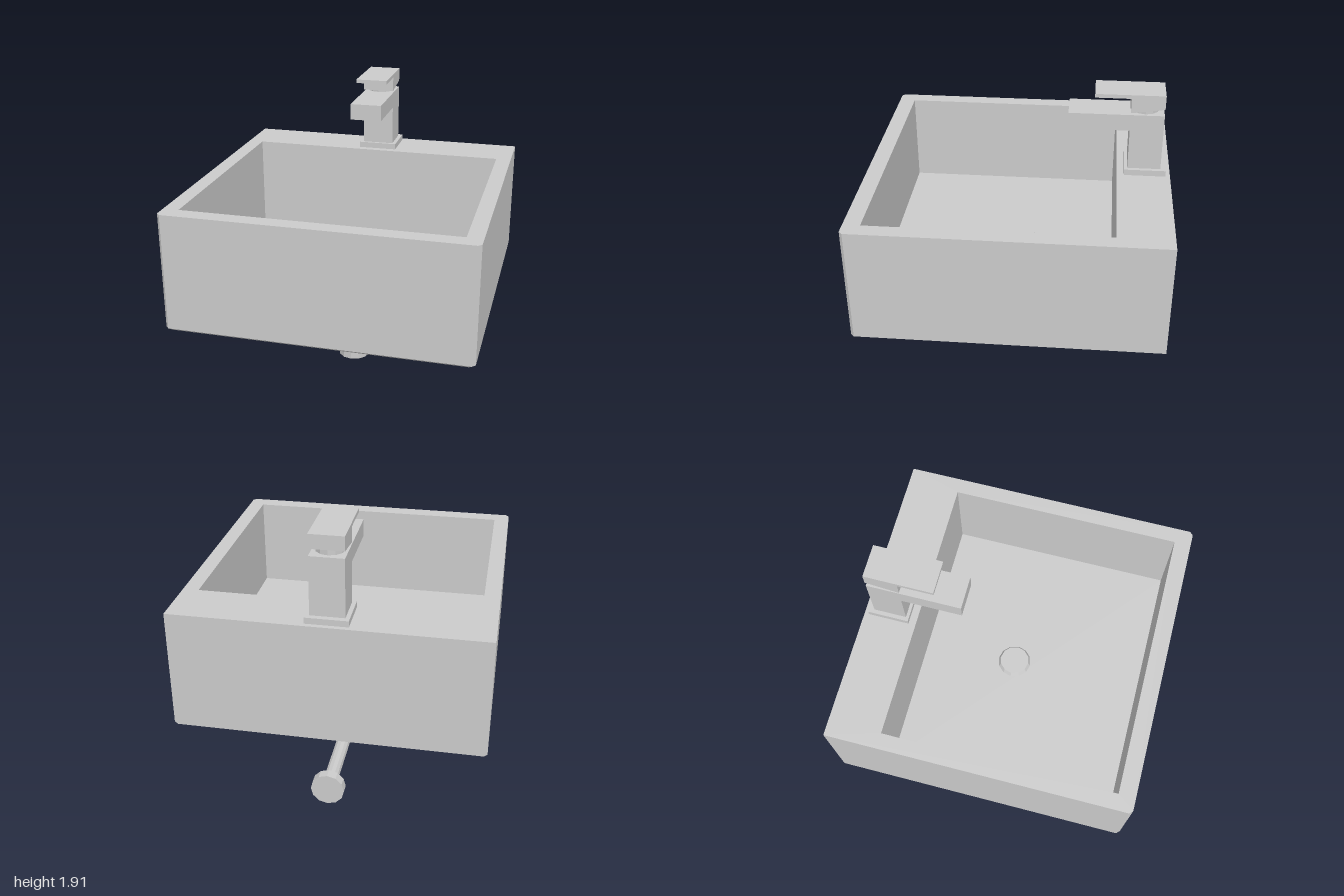
import * as THREE from 'three';

const material = new THREE.MeshStandardMaterial({ color: 0xcccccc, flatShading: true });

export function createModel() {
  const model = new THREE.Group();
  model.name = 'washbasin';

  const add = (name, geometry, x = 0, y = 0, z = 0, parent = model) => {
    const mesh = new THREE.Mesh(geometry, material);
    mesh.name = name;
    mesh.position.set(x, y, z);
    parent.add(mesh);
    return mesh;
  };
  // box given by its width and its y and z ranges
  const addBox = (name, w, y0, y1, z0, z1, parent) =>
    add(name, new THREE.BoxGeometry(w, y1 - y0, z1 - z0), 0, (y0 + y1) / 2, (z0 + z1) / 2, parent);
  // upright twelve-sided cylinder given by its y range
  const addRound = (name, rTop, rBottom, y0, y1, z = 0, parent = model) =>
    add(name, new THREE.CylinderGeometry(rTop, rBottom, y1 - y0, 12), 0, (y0 + y1) / 2, z, parent);

  add('basin', basinGeometry());

  // drain and waste pipe
  addRound('drainPlug', 0.1, 0.115, 0.72, 0.75);
  const plumbing = new THREE.Group();
  plumbing.name = 'plumbing';
  model.add(plumbing);
  addRound('wastePipe', 0.097, 0.097, 0.25, 0.57, 0, plumbing);
  addRound('trap', 0.109, 0.109, 0, 0.255, 0, plumbing);
  const lyingCylinder = (r, length) => new THREE.CylinderGeometry(r, r, length, 12).rotateX(Math.PI / 2);
  add('wallPipe', lyingCylinder(0.047, 0.87), 0, 0.183, -0.515, plumbing);
  add('wallFlange', lyingCylinder(0.108, 0.063), 0, 0.183, -0.9685, plumbing);

  // mixer tap
  const tap = new THREE.Group();
  tap.name = 'tap';
  model.add(tap);
  addBox('tapBase', 0.27, 1.345, 1.39, -0.955, -0.685, tap);
  add('tapBody', profileAcrossX([
    [-0.92, 1.385], [-0.705, 1.385], [-0.705, 1.66], [-0.31, 1.66], [-0.31, 1.77], [-0.92, 1.77],
  ], 0.217), 0, 0, 0, tap);
  addRound('tapNeck', 0.09, 0.09, 1.765, 1.83, -0.8, tap);
  add('tapLever', profileAcrossX([
    [-0.92, 1.815], [-0.705, 1.783], [-0.705, 1.882], [-0.475, 1.882], [-0.475, 1.907], [-0.92, 1.907],
  ], 0.217), 0, 0, 0, tap);

  return model;
}

// extrudes a side profile of [z, y] points across the width
function profileAcrossX(points, width) {
  const shape = new THREE.Shape(points.map(([z, y]) => new THREE.Vector2(-z, y)));
  return new THREE.ExtrudeGeometry(shape, { depth: width, bevelEnabled: false })
    .translate(0, 0, -width / 2)
    .rotateY(Math.PI / 2);
}

// hollow basin lofted through loops: underside, outer wall, rim, bowl wall, bowl floor
function basinGeometry() {
  const loop = (x, zBack, zFront, cut, y) => [
    [-x, y, zBack], [-x, y, zFront - cut], [-x + cut, y, zFront],
    [x - cut, y, zFront], [x, y, zFront - cut], [x, y, zBack],
  ];
  const loops = [
    loop(0.97, -0.985, 0.98, 0.02, 0.56),
    loop(0.99, -0.985, 1.0, 0.022, 0.577),
    loop(0.99, -0.985, 1.0, 0.022, 1.35),
    loop(0.888, -0.637, 0.89, 0, 1.35),
    loop(0.888, -0.637, 0.89, 0, 0.72),
  ];
  const positions = [];
  const triangle = (a, b, c) => {
    const [p, q, r] = [a, b, c].map((v) => new THREE.Vector3(...v));
    if (new THREE.Triangle(p, q, r).getArea() > 1e-7) positions.push(...a, ...b, ...c);
  };
  for (let k = 0; k < loops.length - 1; k++) {
    const low = loops[k], high = loops[k + 1];
    for (let i = 0; i < 6; i++) {
      const j = (i + 1) % 6;
      triangle(low[i], low[j], high[j]);
      triangle(low[i], high[j], high[i]);
    }
  }
  const under = loops[0], floor = loops[4];
  for (let i = 1; i < 5; i++) {
    triangle(under[0], under[i + 1], under[i]);
    triangle(floor[0], floor[i], floor[i + 1]);
  }
  const geometry = new THREE.BufferGeometry();
  geometry.setAttribute('position', new THREE.Float32BufferAttribute(positions, 3));
  geometry.computeVertexNormals();
  return geometry;
}
